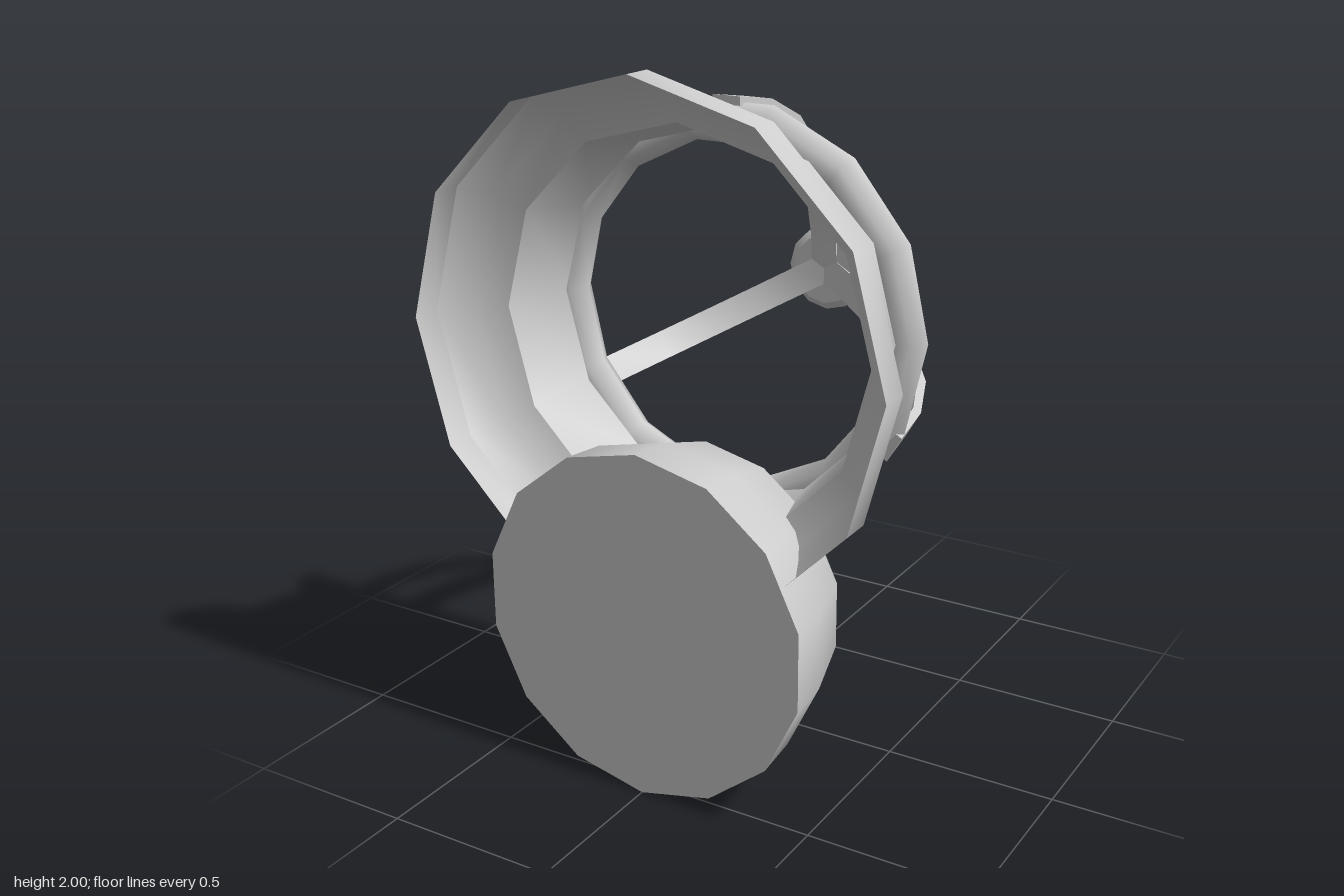
import * as THREE from 'three';
import { toCreasedNormals } from 'three/addons/utils/BufferGeometryUtils.js';

const RING_Y = 1.28;
const BALL_Y = 0.51;

const grey = new THREE.MeshStandardMaterial({ color: 0xcccccc, side: THREE.DoubleSide });
grey.name = 'plain grey';

// Lathe a [radius, z] profile around the z axis
function latheZ(profile, sides) {
  const points = profile.map(([r, z]) => new THREE.Vector2(r, z));
  const geometry = new THREE.LatheGeometry(points, sides).rotateX(Math.PI / 2);
  return toCreasedNormals(geometry, 0.6);
}

// Curved flat strap standing in the y-z plane
function strapGeometry() {
  const width = 0.085;
  const outer = [[0.085, 0.605], [-0.09, 0.575], [-0.25, 0.505], [-0.38, 0.38],
    [-0.47, 0.235], [-0.505, 0.1], [-0.512, 0]];
  const inner = [[0.085, 0.58], [-0.085, 0.55], [-0.235, 0.483], [-0.36, 0.365],
    [-0.447, 0.225], [-0.48, 0.1], [-0.487, 0]];
  const outline = [...outer, ...inner.reverse()].map(([z, r]) => new THREE.Vector2(z, r));
  const geometry = new THREE.ExtrudeGeometry(new THREE.Shape(outline), { depth: width, bevelEnabled: false });
  geometry.translate(0, 0, -width / 2).rotateY(-Math.PI / 2);
  return toCreasedNormals(geometry, 0.6);
}

export function createModel() {
  const model = new THREE.Group();
  model.name = 'ringWithCage';

  const add = (name, geometry, y) => {
    const mesh = new THREE.Mesh(geometry, grey);
    mesh.name = name;
    mesh.position.y = y;
    model.add(mesh);
    return mesh;
  };

  // Open flared shell
  add('flaredShell', latheZ([[0.525, 0.08], [0.57, 0.33], [0.655, 0.37], [0.72, 0.46], [0.72, 0.55]], 12), RING_Y);

  // Round band at the narrow end of the shell
  add('backRing', new THREE.TorusGeometry(0.543, 0.058, 6, 14), RING_Y).position.z = 0.06;

  // Three straps meeting at the hub
  const strap = strapGeometry();
  for (let i = 0; i < 3; i++) {
    add('cageStrap' + (i + 1), strap, RING_Y).rotation.z = (i * Math.PI * 2) / 3;
  }
  add('cageHub', latheZ([[0, -0.55], [0.108, -0.55], [0.128, -0.535], [0.128, -0.507],
    [0.105, -0.487], [0, -0.487]], 12), RING_Y - 0.005);

  // Domed body with a flat front
  add('dome', latheZ([[0, -0.06], [0.29, 0.02], [0.43, 0.2], [0.493, 0.41], [0.505, 0.55], [0, 0.55]], 14), BALL_Y);

  return model;
}
